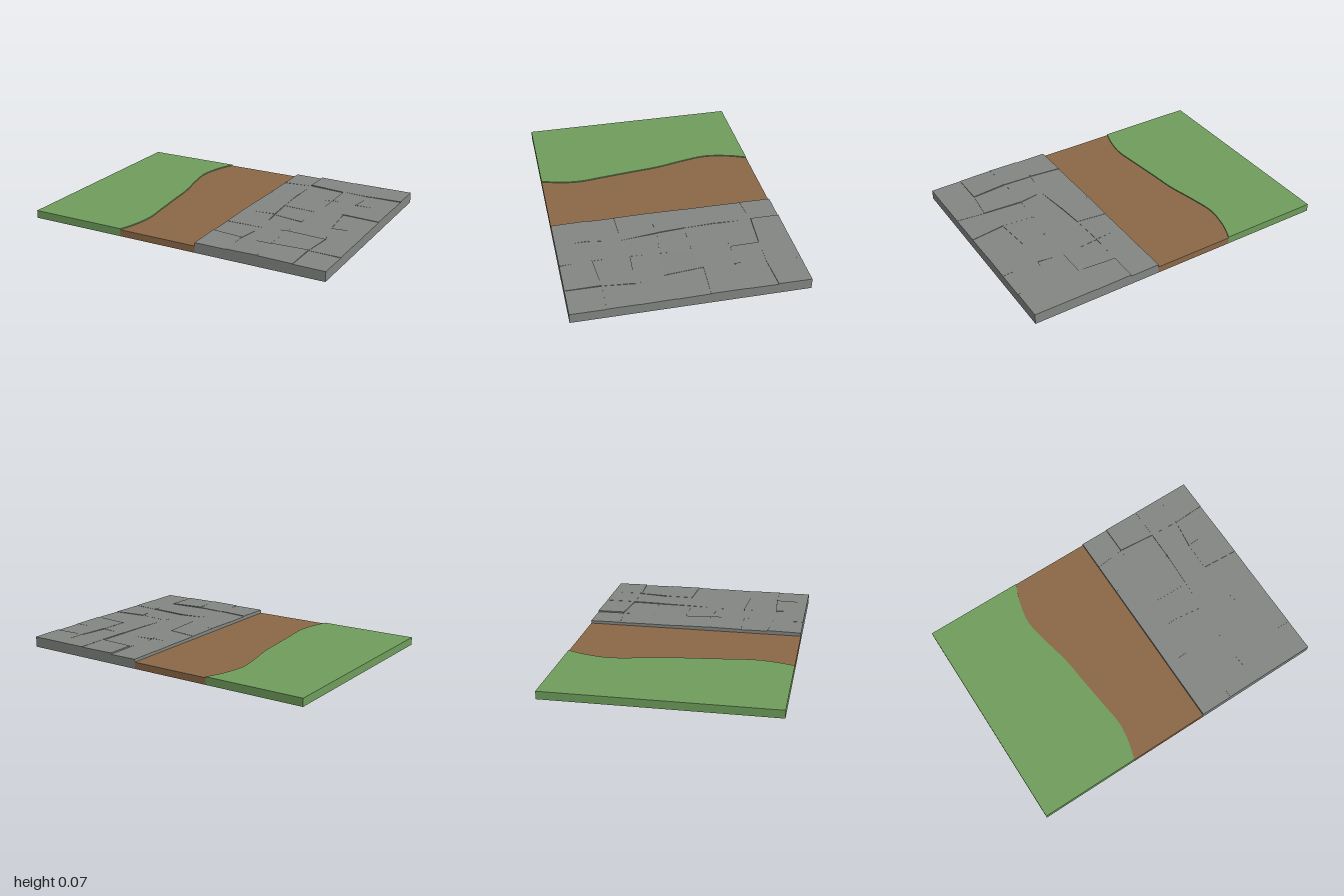
import * as THREE from 'three';

const HALF_Z = 0.713;
const PATH_EDGE = 0.17;

function material(name, color) {
  const m = new THREE.MeshStandardMaterial({ color });
  m.name = name;
  return m;
}

// Flat slab of ground from an outline of (x, z) points
function ground(name, outline, height, mat) {
  const shape = new THREE.Shape(outline.map(p => new THREE.Vector2(p.x, -p.y)));
  const geo = new THREE.ExtrudeGeometry(shape, { depth: height, bevelEnabled: false });
  geo.rotateX(-Math.PI / 2);
  const mesh = new THREE.Mesh(geo, mat);
  mesh.name = name;
  return mesh;
}

// Four-cornered stone whose top is a slightly tilted plane
function pavingStone(corners, height, tiltX, tiltZ, mat) {
  const geo = new THREE.BoxGeometry(1, 1, 1);
  const pos = geo.attributes.position;
  const cx = corners.reduce((s, c) => s + c[0], 0) / 4;
  const cz = corners.reduce((s, c) => s + c[1], 0) / 4;
  for (let i = 0; i < pos.count; i++) {
    const [x, z] = corners[(pos.getZ(i) > 0 ? 2 : 0) + (pos.getX(i) > 0 ? 1 : 0)];
    const y = pos.getY(i) > 0 ? height + tiltX * (x - cx) + tiltZ * (z - cz) : 0;
    pos.setXYZ(i, x, y, z);
  }
  const flat = geo.toNonIndexed();
  flat.computeVertexNormals();
  return new THREE.Mesh(flat, mat);
}

export function createModel() {
  const model = new THREE.Group();
  model.name = 'groundTile';
  const green = material('grassGreen', 0x6f9d5c);
  const brown = material('dirtBrown', 0x8c6848);
  const gray = material('stoneGray', 0x838683);

  // Winding border between grass and dirt, back to front
  const border = new THREE.SplineCurve([
    [-0.355, -HALF_Z], [-0.4, -0.6], [-0.43, -0.44], [-0.408, -0.28], [-0.365, -0.08],
    [-0.345, 0.1], [-0.322, 0.3], [-0.305, 0.46], [-0.32, 0.59], [-0.355, HALF_Z],
  ].map(p => new THREE.Vector2(...p))).getPoints(45);
  const v = (x, z) => new THREE.Vector2(x, z);

  model.add(ground('grass', [...border, v(-1, HALF_Z), v(-1, -HALF_Z)], 0.05, green));
  model.add(ground('dirtPath', [...border, v(PATH_EDGE, HALF_Z), v(PATH_EDGE, -HALF_Z)], 0.043, brown));

  // Irregular joints between stones: x of inner joints, z at each of the five columns
  const joints = [
    { x: [0.36, 0.6, 0.79], z: [-HALF_Z, -HALF_Z, -HALF_Z, -HALF_Z, -HALF_Z] },
    { x: [0.36, 0.6, 0.79], z: [-0.51, -0.53, -0.51, -0.5, -0.51] },
    { x: [0.355, 0.6, 0.765], z: [-0.295, -0.31, -0.33, -0.31, -0.32] },
    { x: [0.365, 0.59, 0.76], z: [-0.115, -0.095, -0.09, -0.12, -0.105] },
    { x: [0.38, 0.575, 0.78], z: [0.1, 0.08, 0.105, 0.12, 0.09] },
    { x: [0.405, 0.565, 0.82], z: [0.315, 0.31, 0.285, 0.3, 0.32] },
    { x: [0.375, 0.565, 0.8], z: [0.49, 0.51, 0.515, 0.495, 0.5] },
    { x: [0.38, 0.58, 0.8], z: [HALF_Z, HALF_Z, HALF_Z, HALF_Z, HALF_Z] },
  ].map(({ x, z }) => [PATH_EDGE, ...x, 1].map((px, i) => [px, z[i]]));

  // Seeded variation of height and tilt
  let seed = 17;
  const vary = () => {
    seed = (seed * 16807) % 2147483647;
    return seed / 2147483647 - 0.5;
  };

  const paving = new THREE.Group();
  paving.name = 'stonePaving';
  for (let r = 0; r < joints.length - 1; r++) {
    for (let c = 0; c < 4; c++) {
      const corners = [joints[r][c], joints[r][c + 1], joints[r + 1][c], joints[r + 1][c + 1]];
      const stone = pavingStone(corners, 0.065 + vary() * 0.008, vary() * 0.03, vary() * 0.03, gray);
      stone.name = `pavingStone${r + 1}_${c + 1}`;
      paving.add(stone);
    }
  }
  model.add(paving);
  return model;
}
